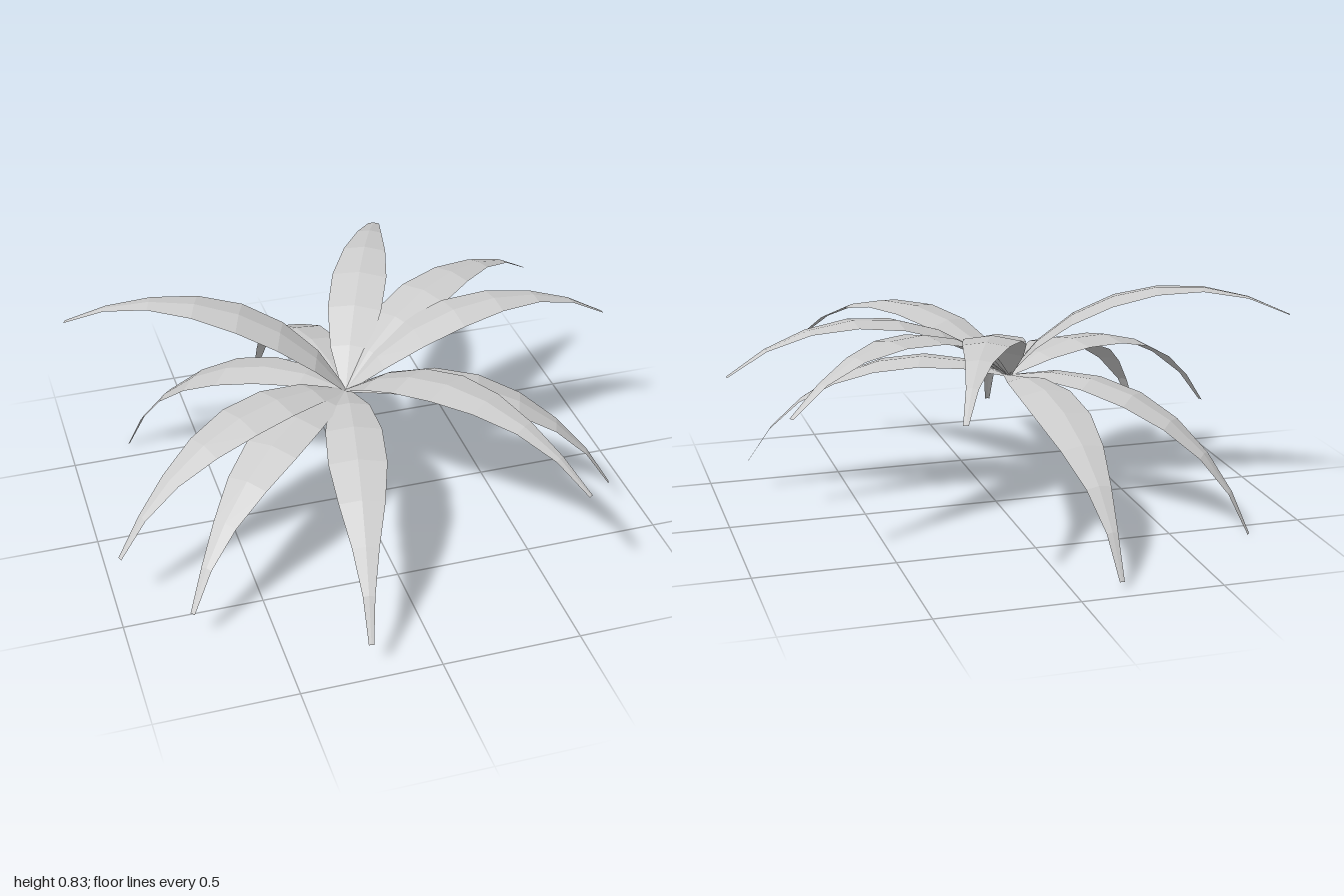
import * as THREE from 'three';

const BASE = new THREE.Vector3(-0.045, 0.49, 0);
// total bend of every blade, from root to tip
const BEND = THREE.MathUtils.degToRad(84);
// full blade width at evenly spaced stations from root to tip
const WIDTHS = [0.03, 0.145, 0.2, 0.205, 0.16, 0.093, 0.042, 0.018];
// tip of each leaf
const TIPS = [
  [-0.16, 0.03, -0.945], [0.375, 0.62, -0.955], [0.855, 0.56, -0.545], [1.0, 0.59, -0.09],
  [0.87, 0.13, 0.36], [0.57, 0.475, 0.845], [-0.24, 0.11, 0.955], [-0.78, 0.125, 0.645],
  [-0.975, 0.21, 0.385], [-1.0, 0.74, -0.36], [-0.77, 0.002, -0.585],
];

// one blade arching along a circular arc, with a shallow ridge on its midrib
function leafGeometry(tip) {
  const out = new THREE.Vector3(tip.x - BASE.x, 0, tip.z - BASE.z);
  const reach = out.length();
  const rise = tip.y - BASE.y;
  out.normalize();
  const side = new THREE.Vector3(out.z, 0, -out.x);
  const radius = Math.hypot(reach, rise) / (2 * Math.sin(BEND / 2));
  const startPitch = Math.atan2(rise, reach) + BEND / 2;
  const steps = WIDTHS.length - 1;
  const positions = [];
  const indices = [];
  WIDTHS.forEach((w, i) => {
    const pitch = startPitch - (BEND * i) / steps;
    const spine = BASE.clone().addScaledVector(out, radius * (Math.sin(startPitch) - Math.sin(pitch)));
    spine.y += radius * (Math.cos(pitch) - Math.cos(startPitch));
    for (const k of [-1, 0, 1]) {
      const v = spine.clone().addScaledVector(side, (k * w) / 2);
      v.y += k === 0 ? w * 0.04 : -w * 0.04;
      positions.push(v.x, v.y, v.z);
    }
    if (i < steps) {
      for (const k of [0, 1]) {
        const a = i * 3 + k;
        indices.push(a, a + 3, a + 1, a + 1, a + 3, a + 4);
      }
    }
  });
  const geometry = new THREE.BufferGeometry();
  geometry.setAttribute('position', new THREE.Float32BufferAttribute(positions, 3));
  geometry.setIndex(indices);
  const flat = geometry.toNonIndexed();
  flat.computeVertexNormals();
  return flat;
}

export function createModel() {
  const plant = new THREE.Group();
  plant.name = 'leafRosette';
  const leafGrey = new THREE.MeshStandardMaterial({
    color: 0xcccccc, flatShading: true, side: THREE.DoubleSide,
  });
  leafGrey.name = 'leaf grey';
  TIPS.forEach((t, i) => {
    const leaf = new THREE.Mesh(leafGeometry(new THREE.Vector3(...t)), leafGrey);
    leaf.name = `leaf${i + 1}`;
    plant.add(leaf);
  });
  return plant;
}
